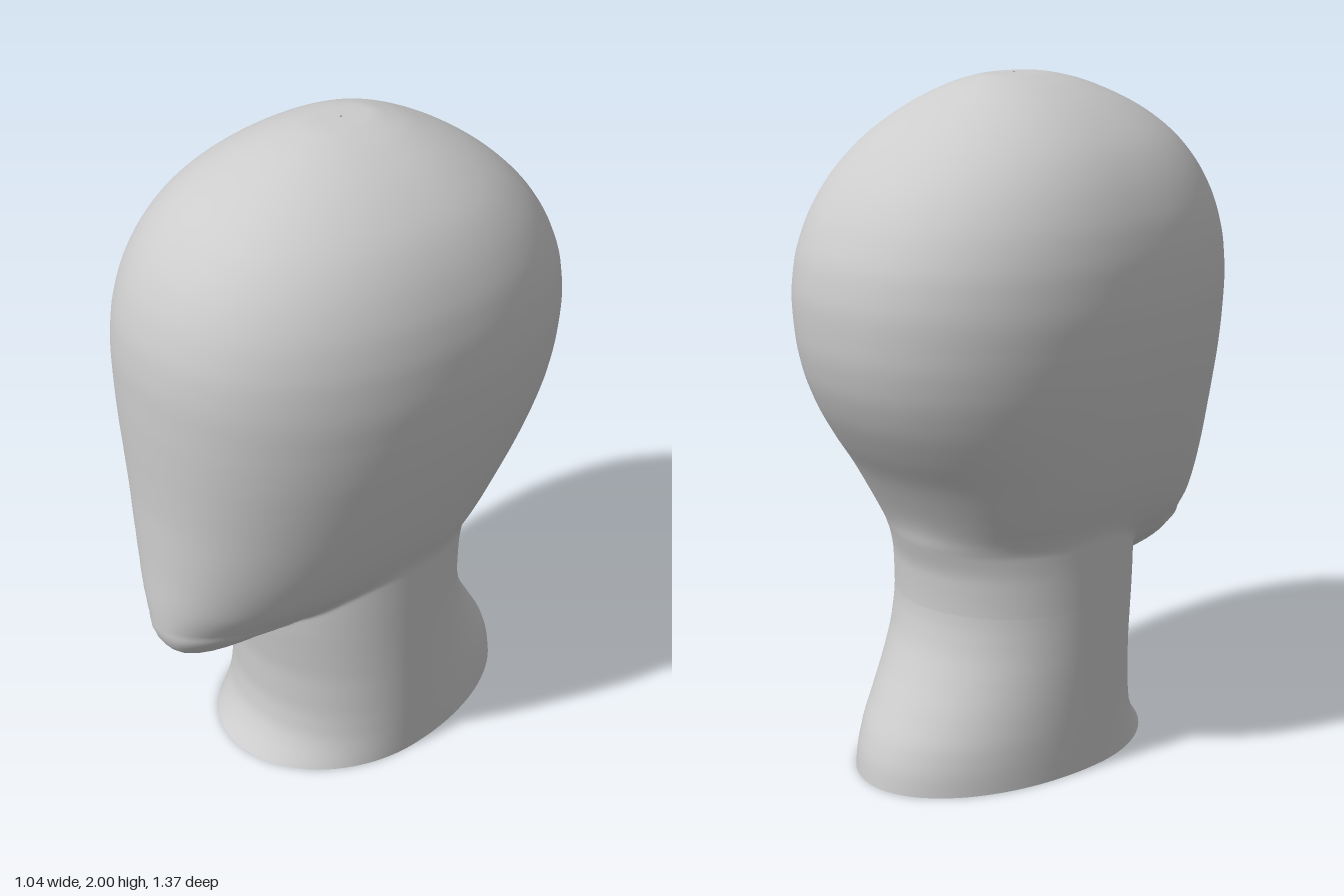
import * as THREE from 'three';

// Head cross-sections: [height, half width, front depth, back depth]
const HEAD = [
  [0.494, 0.05, 0.25, 0.10],
  [0.499, 0.08, 0.45, 0.12],
  [0.502, 0.105, 0.57, 0.14],
  [0.52, 0.135, 0.635, 0.17],
  [0.55, 0.17, 0.67, 0.22],
  [0.60, 0.245, 0.685, 0.28],
  [0.65, 0.295, 0.686, 0.335],
  [0.70, 0.337, 0.685, 0.38],
  [0.80, 0.39, 0.68, 0.432],
  [0.90, 0.427, 0.677, 0.49],
  [1.00, 0.456, 0.675, 0.56],
  [1.10, 0.48, 0.677, 0.62],
  [1.20, 0.50, 0.68, 0.66],
  [1.30, 0.513, 0.682, 0.68],
  [1.40, 0.52, 0.682, 0.685],
  [1.50, 0.515, 0.674, 0.672],
  [1.60, 0.497, 0.65, 0.635],
  [1.70, 0.46, 0.605, 0.573],
  [1.80, 0.398, 0.527, 0.477],
  [1.88, 0.315, 0.425, 0.37],
  [1.94, 0.225, 0.305, 0.26],
  [1.98, 0.135, 0.19, 0.165],
  [1.998, 0.06, 0.09, 0.09],
  [2.00, 0.003, 0.004, 0.004],
];

// Neck cross-sections: [height, front depth, back depth]
const NECK = [
  [0.0, 0.42, 0.57],
  [0.05, 0.377, 0.562],
  [0.1, 0.35, 0.545],
  [0.2, 0.335, 0.49],
  [0.3, 0.335, 0.43],
  [0.4, 0.344, 0.385],
  [0.5, 0.355, 0.366],
  [0.6, 0.36, 0.37],
  [0.7, 0.36, 0.395],
];
const NECK_WIDTH = 0.352;

// Smooth interpolation between table rows that never overshoots
function sample(rows, t) {
  const last = rows.length - 1;
  const i = Math.min(Math.floor(t), last - 1);
  const f = t - i;
  const slope = (k, c) => {
    if (k === 0) return rows[1][c] - rows[0][c];
    if (k === last) return rows[last][c] - rows[last - 1][c];
    const a = rows[k][c] - rows[k - 1][c], b = rows[k + 1][c] - rows[k][c];
    return a * b <= 0 ? 0 : (2 * a * b) / (a + b);
  };
  return rows[i].map((p, c) => {
    const q = rows[i + 1][c], f2 = f * f, f3 = f2 * f;
    return p * (2 * f3 - 3 * f2 + 1) + q * (3 * f2 - 2 * f3)
      + slope(i, c) * (f3 - 2 * f2 + f) + slope(i + 1, c) * (f3 - f2);
  });
}

function neckAt(y) {
  let k = 0;
  while (k < NECK.length - 2 && NECK[k + 1][0] < y) k++;
  const f = (y - NECK[k][0]) / (NECK[k + 1][0] - NECK[k][0]);
  return sample(NECK, k + Math.min(f, 1));
}

// Radius of an egg-shaped section in the direction of an angle
function radius(angle, width, front, back, n) {
  const s = Math.abs(Math.sin(angle)), c = Math.cos(angle);
  return Math.pow(Math.pow(s / width, n) + Math.pow(Math.abs(c) / (c > 0 ? front : back), n), -1 / n);
}

function softMax(a, b, k = 0.02) {
  const h = Math.max(k - Math.abs(a - b), 0);
  return Math.max(a, b) + (h * h) / (4 * k);
}

export function createModel() {
  const group = new THREE.Group();
  const grey = new THREE.MeshStandardMaterial({ color: 0xcccccc, side: THREE.DoubleSide });
  grey.name = 'light grey';

  // Rings from the open neck base, out under the chin and up to the crown
  const rings = [];
  for (let i = 0; i < 24; i++) rings.push({ y: (0.49 * i) / 24 });
  const steps = 5;
  for (let i = 0; i <= (HEAD.length - 1) * steps; i++) {
    const [y, ...head] = sample(HEAD, i / steps);
    rings.push({ y, head });
  }

  const segments = 160;
  const positions = [], index = [];
  rings.forEach(({ y, head }, i) => {
    const [, front, back] = neckAt(y);
    const n = 2.2 + Math.max(0, 0.62 - y) * 6;
    for (let j = 0; j < segments; j++) {
      const angle = (j / segments) * Math.PI * 2;
      let r = y < 0.85 ? radius(angle, NECK_WIDTH, front, back, 2) : 0;
      if (head) {
        const h = radius(angle, ...head, n);
        r = y < 0.85 ? softMax(r, h) : h;
      }
      positions.push(r * Math.sin(angle), y, r * Math.cos(angle));
      if (i < rings.length - 1) {
        const a = i * segments + j, b = i * segments + ((j + 1) % segments);
        index.push(a, b, b + segments, a, b + segments, a + segments);
      }
    }
  });

  const geometry = new THREE.BufferGeometry();
  geometry.setAttribute('position', new THREE.Float32BufferAttribute(positions, 3));
  geometry.setIndex(index);
  geometry.computeVertexNormals();

  const bust = new THREE.Mesh(geometry, grey);
  bust.name = 'headAndNeck';
  group.add(bust);
  return group;
}
